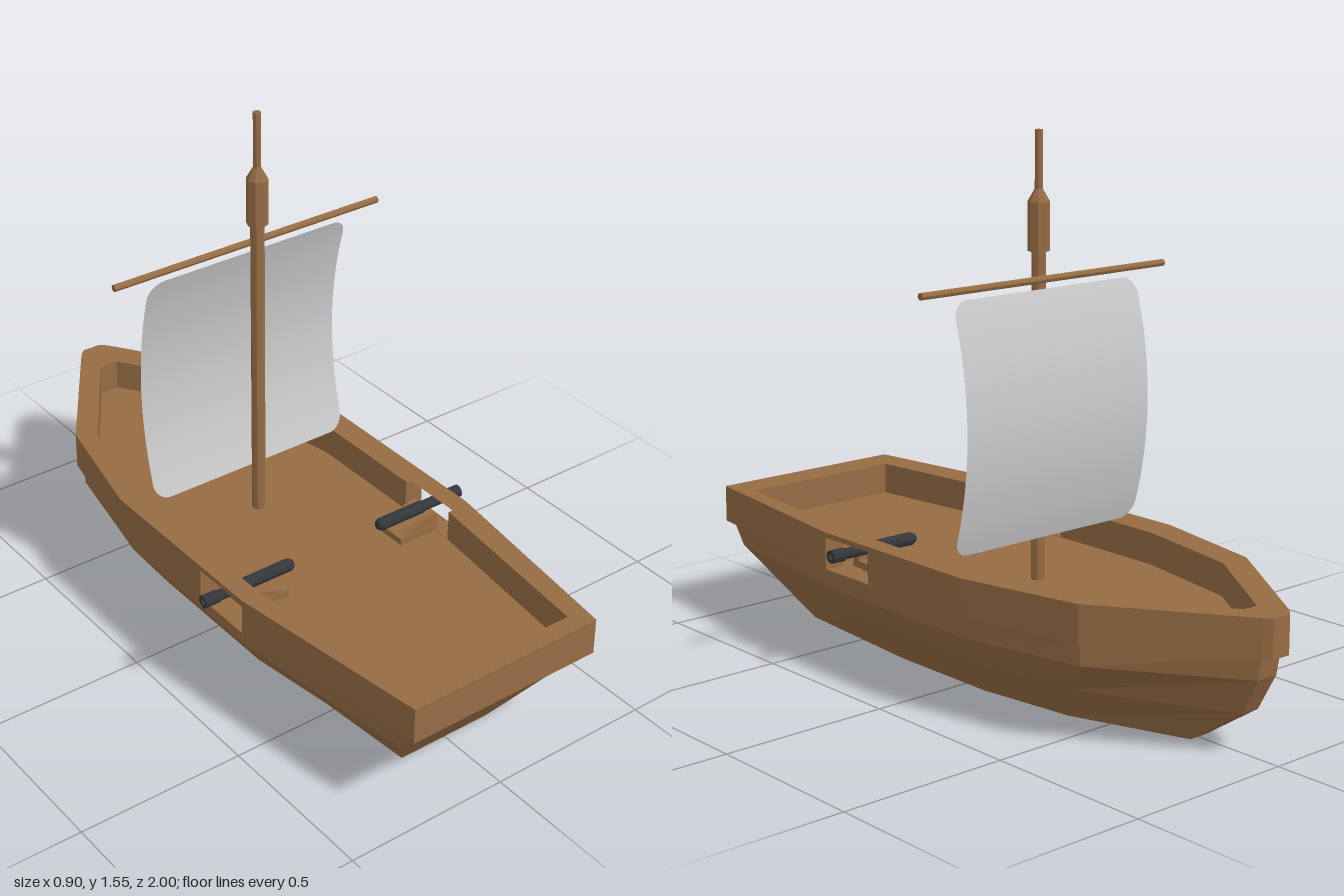
import * as THREE from 'three';

const mat = (color, opts = {}) => new THREE.MeshStandardMaterial({ color, ...opts });
const wood = mat(0x966c44, { flatShading: true });
const iron = mat(0x33363a, { flatShading: true });
const cloth = mat(0xcccccc, { side: THREE.DoubleSide });

function add(parent, name, geometry, material) {
  const mesh = new THREE.Mesh(geometry, material);
  mesh.name = name;
  parent.add(mesh);
  return mesh;
}

// Closed outline from a +x half running stern to bow
const mirrored = half => [...half, ...half.slice().reverse().map(([x, z]) => [-x, z])];
const vectors = pts => pts.map(([x, z]) => new THREE.Vector2(x, z));

// Upright prism whose plan is drawn in x and z
function prism(shape, bottom, top) {
  return new THREE.ExtrudeGeometry(shape, { depth: top - bottom, bevelEnabled: false })
    .rotateX(Math.PI / 2).translate(0, top, 0);
}

// Skin over stacked plan outlines, capped below and above
function loft(levels) {
  const rings = levels.map(({ y, half }) => mirrored(half).map(([x, z]) => [x, y, z]));
  const pos = [];
  const tri = (...corners) => corners.forEach(c => pos.push(...c));
  const n = rings[0].length;
  for (let r = 0; r < rings.length - 1; r++) {
    for (let i = 0; i < n; i++) {
      const j = (i + 1) % n, lo = rings[r], hi = rings[r + 1];
      tri(lo[i], lo[j], hi[j]);
      tri(lo[i], hi[j], hi[i]);
    }
  }
  const base = rings[0], deck = rings[rings.length - 1];
  for (let i = 1; i < n - 1; i++) {
    tri(base[0], base[i + 1], base[i]);
    tri(deck[0], deck[i], deck[i + 1]);
  }
  const geo = new THREE.BufferGeometry();
  geo.setAttribute('position', new THREE.Float32BufferAttribute(pos, 3));
  geo.computeVertexNormals();
  return geo;
}

function buildBulwark() {
  const group = new THREE.Group();
  group.name = 'bulwark';
  const outer = [[0.31, 1], [0.395, 0.375], [0.395, -0.22], [0.315, -0.59], [0.05, -0.98], [0.03, -1]];
  const inner = [[0.27, 0.945], [0.335, 0.37], [0.335, -0.2], [0.265, -0.55], [0.03, -0.9]];
  // Continuous rail across the gun ports
  const rail = new THREE.Shape(vectors(mirrored(outer)));
  rail.holes.push(new THREE.Path(vectors(mirrored(inner))));
  add(group, 'rail', prism(rail, 0.385, 0.4), wood);
  // Walls behind and ahead of the gun ports
  const stern = [[0.335, 0.37], [0.395, 0.375], [0.31, 1]];
  const sternPlan = [...mirrored(stern), [-0.335, 0.37], [-0.27, 0.945], [0.27, 0.945]];
  sternPlan.splice(0, sternPlan.length,
    ...stern, ...stern.slice().reverse().map(([x, z]) => [-x, z]), [-0.27, 0.945], [0.27, 0.945]);
  add(group, 'sternWall', prism(new THREE.Shape(vectors(sternPlan)), 0.29, 0.385), wood);
  const bowPlan = [
    ...mirrored([[0.395, 0.18], ...outer.slice(2)]),
    ...mirrored([[0.335, 0.18], ...inner.slice(2)]).reverse(),
  ];
  add(group, 'bowWall', prism(new THREE.Shape(vectors(bowPlan)), 0.29, 0.385), wood);
  return group;
}

function buildCannon(side) {
  const group = new THREE.Group();
  group.name = side > 0 ? 'leftCannon' : 'rightCannon';
  // Barrel lies along x with the muzzle outboard
  const profile = [[0, 0], [0.013, 0], [0.019, 0.012], [0.019, 0.16], [0.016, 0.165],
    [0.016, 0.25], [0.019, 0.255], [0.019, 0.3], [0.01, 0.3], [0.01, 0.27], [0, 0.27]];
  const barrel = add(group, 'barrel', new THREE.LatheGeometry(vectors(profile), 10), iron);
  barrel.rotation.z = -Math.PI / 2;
  barrel.position.set(0.152, 0.36, 0.275);
  // Bed, axles and sloping cheeks
  add(group, 'bed', new THREE.BoxGeometry(0.135, 0.02, 0.1), wood).position.set(0.267, 0.31, 0.275);
  for (const x of [0.225, 0.31]) {
    add(group, 'axle', new THREE.BoxGeometry(0.02, 0.012, 0.06), wood).position.set(x, 0.295, 0.275);
  }
  const cheek = new THREE.Shape(vectors([[0.2, 0.315], [0.334, 0.315], [0.334, 0.355], [0.3, 0.355]]));
  for (const z of [0.228, 0.302]) {
    add(group, 'cheek', new THREE.ExtrudeGeometry(cheek, { depth: 0.02, bevelEnabled: false }), wood).position.z = z;
  }
  if (side < 0) { // turn about the gun's own line
    group.rotation.y = Math.PI;
    group.position.z = 0.55;
  }
  return group;
}

function buildSail() {
  // Round the corners, then belly the cloth backward
  const W = 0.335, H = 0.35, r = 0.05;
  const geo = new THREE.PlaneGeometry(2, 2, 16, 60);
  const p = geo.attributes.position;
  for (let i = 0; i < p.count; i++) {
    const y = H * Math.sin(p.getY(i) * Math.PI / 2);
    const d = Math.max(0, Math.abs(y) - (H - r));
    const w = W - r + Math.sqrt(Math.max(0, r * r - d * d));
    p.setXYZ(i, p.getX(i) * w, y + 0.77, -0.122 - 0.06 * (1 - (y / H) ** 2));
  }
  geo.computeVertexNormals();
  return geo;
}

export function createModel() {
  const model = new THREE.Group();
  model.name = 'sailingBoat';

  // Hull with its flat bottom and deck
  add(model, 'hull', loft([
    { y: 0, half: [[0.15, 0.77], [0.19, 0.28], [0.19, -0.08], [0.15, -0.38], [0.03, -0.72]] },
    { y: 0.12, half: [[0.227, 0.857], [0.3, 0.32], [0.3, -0.13], [0.235, -0.47], [0.03, -0.9]] },
    { y: 0.225, half: [[0.295, 0.933], [0.37, 0.36], [0.37, -0.2], [0.295, -0.58], [0.035, -0.955]] },
    { y: 0.29, half: [[0.295, 0.98], [0.37, 0.36], [0.37, -0.21], [0.295, -0.58], [0.035, -0.967]] },
  ]), wood);
  // Deck edge filling the sills of the gun ports
  for (const s of [1, -1]) {
    add(model, 'portSill', new THREE.BoxGeometry(0.06, 0.006, 0.2), wood).position.set(s * 0.365, 0.288, 0.275);
  }
  model.add(buildBulwark());
  for (const side of [1, -1]) model.add(buildCannon(side));

  // Mast with its thick collar and thin topmast
  const mast = [[0, 0.28], [0.02, 0.28], [0.02, 1.22], [0.031, 1.22], [0.031, 1.355],
    [0.011, 1.39], [0.011, 1.55], [0, 1.55]];
  add(model, 'mast', new THREE.LatheGeometry(vectors(mast), 8), wood).position.z = -0.09;

  // Yard and sail
  const yard = add(model, 'yard', new THREE.CylinderGeometry(0.01, 0.01, 0.89, 8), wood);
  yard.rotation.z = Math.PI / 2;
  yard.position.set(0, 1.147, -0.125);
  add(model, 'sail', buildSail(), cloth);
  return model;
}
